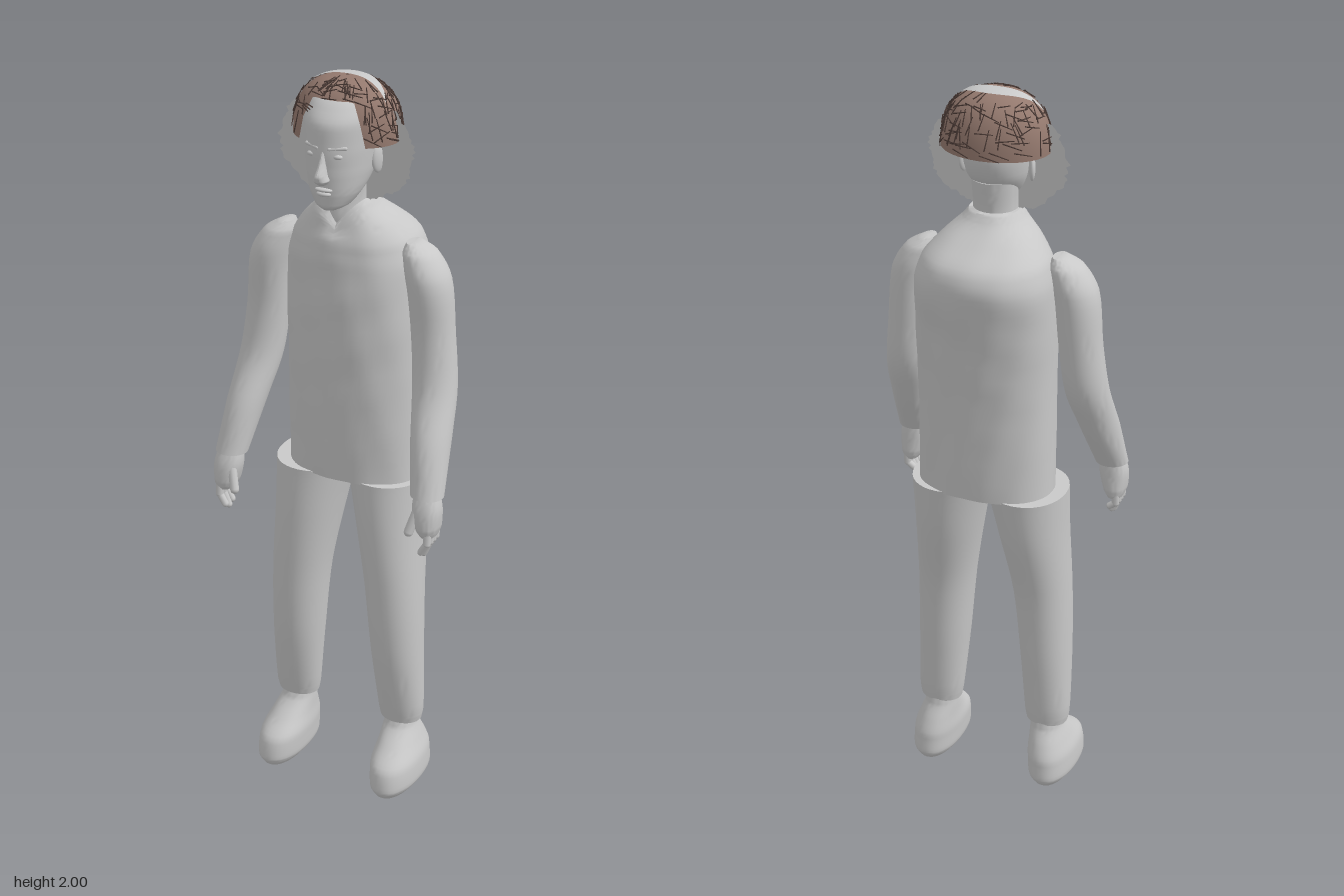
import * as THREE from 'three';
import { mergeGeometries, toCreasedNormals } from 'three/addons/utils/BufferGeometryUtils.js';
import { ParametricGeometry } from 'three/addons/geometries/ParametricGeometry.js';

const gray = new THREE.MeshStandardMaterial({ color: 0xc8c8c8 });
gray.name = 'body gray';
const grayThin = new THREE.MeshStandardMaterial({ color: 0xc8c8c8, side: THREE.DoubleSide });
grayThin.name = 'thin gray';
const brown = new THREE.MeshStandardMaterial({ color: 0x957a6f, side: THREE.DoubleSide });
brown.name = 'hair brown';
const dark = new THREE.MeshStandardMaterial({ color: 0x4a3a35 });
dark.name = 'strand brown';

let seed = 7;
const rand = () => (seed = (seed * 16807) % 2147483647) / 2147483647;

function mesh(name, geometry, material = gray) {
  const m = new THREE.Mesh(geometry, material);
  m.name = name;
  return m;
}

// Smooth skin over rows of [y, centre x, half width, front z, back z], from low to high
function loft(rows, side = 1, power = 2, warp = null, seg = 36) {
  const mid = new THREE.CatmullRomCurve3(rows.map(r => new THREE.Vector3(r[1] * side, r[0], (r[3] + r[4]) / 2)));
  const size = new THREE.CatmullRomCurve3(rows.map(r => new THREE.Vector3(r[2], 0, (r[3] - r[4]) / 2)));
  const n = (rows.length - 1) * 5, pos = [], idx = [];
  const bend = v => Math.sign(v) * Math.abs(v) ** (2 / power);
  for (let i = 0; i <= n; i++) {
    const c = mid.getPoint(i / n), s = size.getPoint(i / n);
    for (let j = 0; j < seg; j++) {
      const a = j / seg * Math.PI * 2;
      const p = new THREE.Vector3(c.x + s.x * bend(Math.sin(a)), c.y, c.z + s.z * bend(Math.cos(a)));
      if (warp) warp(p);
      pos.push(p.x, p.y, p.z);
      const k = (j + 1) % seg, b = i * seg;
      if (i < n) idx.push(b + j, b + k, b + seg + k, b + j, b + seg + k, b + seg + j);
    }
  }
  for (const i of [0, n]) {
    const c = mid.getPoint(i / n), e = pos.length / 3;
    pos.push(c.x, c.y, c.z);
    for (let j = 0; j < seg; j++) {
      const p = i * seg + j, q = i * seg + (j + 1) % seg;
      idx.push(...(i ? [e, p, q] : [e, q, p]));
    }
  }
  const g = new THREE.BufferGeometry();
  g.setAttribute('position', new THREE.Float32BufferAttribute(pos, 3));
  g.setIndex(idx);
  return toCreasedNormals(g, 0.9);
}

// Rounded rod between two points
function rod(a, b, r) {
  const A = new THREE.Vector3(...a), B = new THREE.Vector3(...b), d = B.clone().sub(A);
  const g = new THREE.CapsuleGeometry(r, d.length(), 4, 10);
  g.applyQuaternion(new THREE.Quaternion().setFromUnitVectors(new THREE.Vector3(0, 1, 0), d.normalize()));
  return g.translate(...A.add(B).multiplyScalar(0.5).toArray());
}

function blob(name, x, y, z, rx, ry, rz) {
  return mesh(name, new THREE.SphereGeometry(1, 20, 14).scale(rx, ry, rz).translate(x, y, z));
}

// Point on the hair cap: a is the turn from the front, t the angle from the crown
function cap(a, t, lift = 0) {
  const r = Math.abs(Math.sin(t)) ** 0.8 + lift * 8, h = Math.max(0, Math.cos(t)) ** 0.8;
  return new THREE.Vector3(0.14 * r * Math.sin(a), 1.845 + 0.15 * h + lift * 0.5, 0.016 + 0.11 * r * Math.cos(a));
}
const hairline = a => 0.84 + 0.73 * THREE.MathUtils.smoothstep(Math.abs(a), 0.5, 0.7);

function buildHead() {
  const g = new THREE.Group();
  g.name = 'head';
  g.add(mesh('neck', loft([[1.58, 0, .062, .075, -.05], [1.64, 0, .06, .078, -.045], [1.7, 0, .057, .07, -.042], [1.77, 0, .06, .07, -.05]])));
  g.add(mesh('skull', loft([
    [1.684, 0, .02, .132, .085], [1.695, 0, .042, .141, .045], [1.73, 0, .066, .147, 0], [1.78, 0, .081, .151, -.055],
    [1.84, 0, .088, .152, -.078], [1.9, 0, .09, .147, -.08], [1.945, 0, .08, .112, -.06], [1.975, 0, .045, .07, -.03],
  ], 1, 2.1)));
  g.add(mesh('nose', loft([[1.758, 0, .011, .166, .13], [1.768, 0, .019, .179, .13], [1.78, 0, .015, .184, .13], [1.81, 0, .009, .166, .13], [1.838, 0, .007, .153, .13]], 1, 2, null, 16)));
  g.add(blob('upperLip', 0, 1.742, .146, .024, .006, .011), blob('lowerLip', 0, 1.731, .145, .02, .007, .011));
  for (const s of [-1, 1]) {
    g.add(blob('eye', s * .034, 1.828, .139, .014, .007, .009));
    g.add(mesh('brow', rod([s * .016, 1.847, .147], [s * .052, 1.849, .131], .005)));
    const ear = blob('ear', 0, 0, 0, .009, .036, .02);
    ear.position.set(s * .09, 1.8, .03);
    ear.rotation.y = s * -.35;
    g.add(ear);
  }
  return g;
}

function buildHair() {
  const g = new THREE.Group();
  g.name = 'hair';
  g.add(mesh('hairCap', new ParametricGeometry((u, v, p) => {
    const a = (u - 0.5) * Math.PI * 2;
    p.copy(cap(a, Math.max(v, 0.01) * hairline(a)));
  }, 72, 16), brown));

  // Crescent of bare scalp across the crown
  g.add(mesh('scalpBand', new ParametricGeometry((u, v, p) => {
    const x = (u - 0.5) * 0.23;
    const z = THREE.MathUtils.lerp(-.025 + 4.5 * x * x, .02 + 1.5 * x * x, v);
    const s = Math.min(1, Math.hypot(x / .14, (z - .016) / .11)) ** 1.25;
    p.set(x, 1.849 + .15 * Math.sqrt(1 - s * s) ** .8, z);
  }, 24, 6), grayThin));

  // Loose strands crossing the cap
  const strands = [];
  for (let i = 0; i < 190; i++) {
    const a = (rand() - .5) * Math.PI * 2, t = (.25 + .75 * Math.sqrt(rand())) * hairline(a);
    const along = rand() < .5, d = (rand() - .5) * .3;
    const p = cap(a, t, .003), q = cap(a + (along ? .35 : d), t - (along ? d : .35), .004);
    if (Math.min(p.y, q.y) > 1.975 && Math.abs((p.z + q.z) / 2 - .01) < .035) continue;
    const len = p.distanceTo(q);
    const rodGeo = new THREE.CylinderGeometry(.0012, .0018, len, 5);
    rodGeo.applyQuaternion(new THREE.Quaternion().setFromUnitVectors(new THREE.Vector3(0, 1, 0), q.clone().sub(p).normalize()));
    p.add(q).multiplyScalar(.5);
    strands.push(rodGeo.translate(p.x, p.y, p.z));
  }
  g.add(mesh('strands', mergeGeometries(strands), dark));

  // Ragged sheet of hair standing out on both sides of the face
  const shape = new THREE.Shape();
  for (let i = 0; i < 120; i++) {
    const a = i / 120 * Math.PI * 2, r = .95 + .08 * rand();
    shape[i ? 'lineTo' : 'moveTo'](.187 * r * Math.cos(a), 1.82 + .145 * r * Math.sin(a));
  }
  g.add(mesh('sideHair', new THREE.ShapeGeometry(shape).translate(0, 0, .025), grayThin));
  return g;
}

function buildArm(s) {
  const g = new THREE.Group();
  g.name = s > 0 ? 'leftArm' : 'rightArm';
  g.add(mesh('sleeve', loft([
    [.965, .285, .044, .175, .092], [1.1, .267, .052, .135, .015], [1.22, .25, .058, .08, -.038], [1.35, .236, .057, .062, -.052],
    [1.5, .22, .057, .07, -.06], [1.565, .195, .043, .055, -.05], [1.59, .178, .018, .03, -.028],
  ], s)));
  g.add(mesh('palm', loft([[.86, .297, .02, .175, .108], [.88, .295, .03, .184, .102], [.93, .29, .038, .18, .104], [.99, .285, .028, .158, .108]], s, 2.4)));
  for (let i = 0; i < 4; i++) {
    const z = .115 + i * .018, tip = .808 + [.025, .008, 0, .01][i];
    g.add(mesh('finger', rod([s * .304, .885, z], [s * .304, .845, z + .003], .0105)));
    g.add(mesh('fingertip', rod([s * .304, .845, z + .003], [s * .288, tip, z + .003], .0095)));
  }
  g.add(mesh('thumb', rod([s * .272, .935, .16], [s * .255, .872, .178], .0125)));
  return g;
}

function buildLeg(s) {
  const g = new THREE.Group();
  g.name = s > 0 ? 'leftLeg' : 'rightLeg';
  g.add(mesh('trouserLeg', loft([
    [.182, .16, .058, .052, -.042], [.21, .16, .063, .058, -.046], [.4, .151, .071, .09, -.06], [.6, .14, .078, .102, -.076],
    [.8, .12, .092, .106, -.12], [.93, .107, .106, .1, -.14],
  ], s, 2.1)));
  g.add(mesh('shoe', loft([
    [0, .176, .05, .16, -.075], [.025, .176, .066, .172, -.088], [.08, .173, .066, .16, -.085],
    [.125, .167, .055, .105, -.068], [.17, .16, .044, .055, -.045], [.21, .16, .04, .045, -.038],
  ], s, 2.2)));
  return g;
}

export function createModel() {
  const model = new THREE.Group();
  model.name = 'standingFigure';
  const body = new THREE.Group();
  body.name = 'body';
  body.position.x = .008;

  // Top with gentle cloth ripples and a V cut at the collar
  const cloth = p => {
    const w = .0025 * Math.sin(p.y * 31 + p.x * 23) * Math.sin(p.x * 41 - p.y * 13);
    p.z += Math.sign(p.z) * w;
    if (p.z > .02 && p.y > 1.6) p.y -= Math.max(0, 1 - Math.abs(p.x) / .065) * (p.y - 1.6) * .7;
  };
  body.add(mesh('torso', loft([
    [.925, .008, .184, .1, -.145], [1.2, .008, .182, .112, -.155], [1.4, .006, .184, .115, -.175], [1.52, .004, .18, .112, -.196],
    [1.58, .002, .163, .106, -.182], [1.63, 0, .122, .096, -.125], [1.67, 0, .08, .09, -.075], [1.692, 0, .064, .084, -.056],
  ], 1, 2.3, cloth, 56)));
  for (const s of [-1, 1]) body.add(buildArm(s), buildLeg(s));
  body.add(buildHead(), buildHair());
  model.add(body);
  return model;
}
